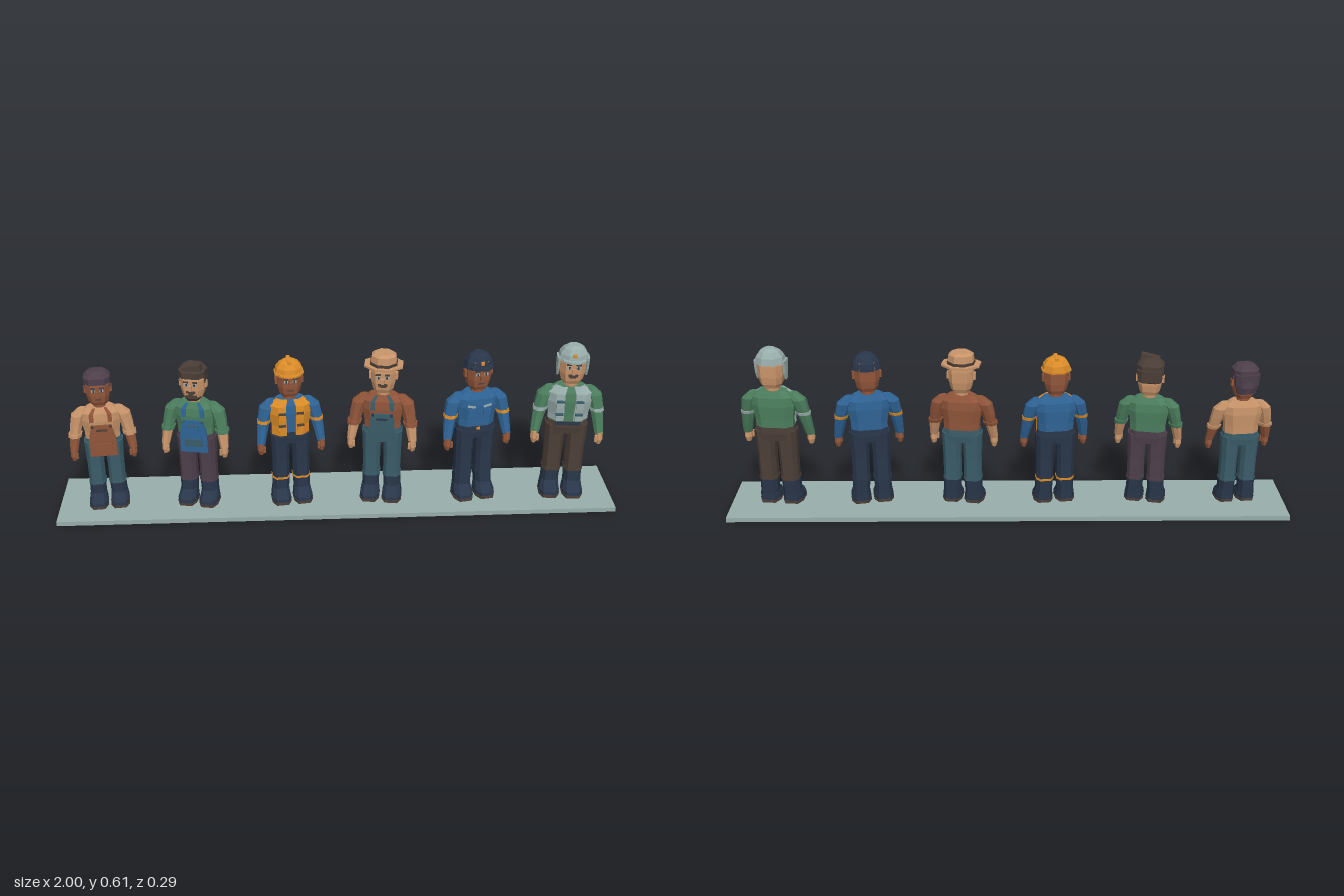
import * as THREE from 'three';

const paint = (name, color) => Object.assign(new THREE.MeshStandardMaterial({ color }), { name });
const M = {
  pale: paint('pale sage grey', 0x98adab), navy: paint('dark navy', 0x29364a),
  teal: paint('dusty teal', 0x3a5c68), tan: paint('tan', 0xc8946a),
  rust: paint('rust brown', 0x90553a), green: paint('work green', 0x4c7f5e),
  blue: paint('work blue', 0x2f6496), orange: paint('safety orange', 0xdc8c28),
  plum: paint('dark plum', 0x4d3f4b), brown: paint('dark brown', 0x4b3e37),
};

const SIDES = [-1, 1];
// Chamfered eight-sided cross-section, running towards +x along the front
const octagon = (a, b) => [[-a, 1], [a, 1], [1, b], [1, -b], [a, -1], [-a, -1], [-1, -b], [-1, b]];
const BOXY = octagon(.62, .45), ROUND = octagon(.41, .41);

// Faceted loft; rings go upward as [y, rx, rz], around cx and cz unless a ring has its own
function loft(rings, section = BOXY, cx = 0, cz = 0, caps = true) {
  const pos = [], n = section.length;
  const at = ([y, rx, rz, x = cx, z = cz], i) => {
    const [u, v] = section[i % n];
    return [x + u * rx, y, z + v * rz];
  };
  const tri = (a, b, c) => pos.push(...a, ...b, ...c);
  for (let k = 0; k + 1 < rings.length; k++) for (let i = 0; i < n; i++) {
    const a = at(rings[k], i), c = at(rings[k + 1], i + 1);
    tri(a, at(rings[k], i + 1), c);
    tri(a, c, at(rings[k + 1], i));
  }
  if (caps) for (let i = 1; i < n - 1; i++) {
    const lo = rings[0], hi = rings.at(-1);
    tri(at(hi, 0), at(hi, i), at(hi, i + 1));
    tri(at(lo, 0), at(lo, i + 1), at(lo, i));
  }
  const g = new THREE.BufferGeometry();
  g.setAttribute('position', new THREE.Float32BufferAttribute(pos, 3));
  g.computeVertexNormals();
  return g;
}

function add(parent, name, geo, mat) {
  const m = new THREE.Mesh(geo, mat);
  m.name = name;
  parent.add(m);
  return m;
}
function box(parent, name, mat, [w, h, d], [x, y, z], tilt = 0) {
  const m = add(parent, name, new THREE.BoxGeometry(w, h, d), mat);
  m.position.set(x, y, z);
  m.rotation.z = tilt;
}
// Straight eight-sided band
const band = (g, name, mat, y, h, rx, rz, cx = 0, cz = 0, section = ROUND) =>
  add(g, name, loft([[y, rx, rz], [y + h, rx, rz]], section, cx, cz), mat);

const TORSO = [[.293, .066, .036], [.33, .067, .037], [.38, .076, .04], [.412, .075, .037], [.434, .046, .027]];
const HEAD = [[.448, .03, .03], [.463, .038, .037], [.49, .044, .041], [.53, .045, .041], [.56, .039, .036], [.573, .024, .024]];

// Arm rings from wrist (t = 1) up to shoulder (t = 0): hanging out, down and slightly forward
const arm = (s, ts, swell = 0) => loft(ts.map(t => {
  const r = Math.min(.018 + .07 * t, .029 - .014 * t) + swell;
  return [.424 - .169 * t, r, r, s * (.068 + .046 * Math.sqrt(t)), .031 * t ** 1.5];
}), ROUND);

function limbs(g, s, { skin, shirt, trousers, rolled, cuff = trousers, armBand }) {
  // Leg and boot
  add(g, 'trouserLeg', loft([[.095, .032, .034], [.18, .032, .033], [.285, .036, .036]], BOXY, s * .039), trousers);
  band(g, 'bootCuff', cuff, .094, .008, .034, .036, s * .039, 0, BOXY);
  add(g, 'boot', loft([[.008, .036, .051, s * .042, .021], [.022, .036, .05, s * .042, .02],
    [.036, .033, .041, s * .042, .011], [.052, .031, .033, s * .041, .002], [.1, .032, .034, s * .039, 0]]), M.navy);
  band(g, 'sole', M.brown, 0, .01, .037, .053, s * .042, .021, BOXY);
  // Arm and hand
  add(g, 'sleeve', arm(s, [.62, .38, .14, 0]), shirt);
  add(g, 'forearm', arm(s, [1, .8, .6]), rolled ? skin : shirt);
  if (rolled) add(g, 'rolledCuff', arm(s, [.66, .58], .005), shirt);
  if (armBand) add(g, 'armBand', arm(s, [.5, .43], .002), armBand);
  add(g, 'hand', loft([[.217, .008, .012], [.235, .013, .017], [.262, .011, .013]], ROUND, s * .115, .035), skin);
  box(g, 'thumb', skin, [.009, .024, .01], [s * .103, .24, .047]);
}

function face(g, { skin, hair, moustache }) {
  add(g, 'head', loft(HEAD), skin);
  box(g, 'nose', skin, [.011, .02, .014], [0, .502, .044]);
  box(g, 'mouth', M.brown, [.022, .004, .006], [0, .477, .039]);
  if (moustache) box(g, 'moustache', hair, [.033, .008, .008], [0, .486, .042]);
  for (const s of SIDES) {
    box(g, 'ear', skin, [.012, .026, .018], [s * .047, .507, 0]);
    box(g, 'eyeWhite', M.pale, [.014, .009, .006], [s * .016, .515, .041]);
    box(g, 'pupil', M.navy, [.006, .009, .006], [s * .015, .515, .042]);
    box(g, 'brow', hair, [.018, .005, .008], [s * .017, .527, .042]);
  }
}

function makeWorker(look) {
  const g = new THREE.Group();
  add(g, 'shirt', loft(TORSO), look.shirt);
  add(g, 'hips', loft([[.25, .066, .035], [.275, .072, .038], [.3, .068, .037]]), look.trousers);
  band(g, 'neck', look.skin, .42, .045, .023, .022);
  box(g, 'belt', M.navy, [.085, .012, .008], [0, .293, .035]);
  for (const s of SIDES) limbs(g, s, look);
  face(g, look);
  look.dress(g);
  return g;
}

// Helmet or cap crown with a peak, sized from its lower rim
function helmet(g, name, mat, y) {
  const curve = [0, .45, .8, 1].map(t => [y + (.588 - y) * t, .051 * Math.sqrt(1 - .87 * t * t), .046 * Math.sqrt(1 - .87 * t * t)]);
  add(g, name, loft(curve, ROUND), mat);
  band(g, 'peak', mat, .538, .006, .039, .026, 0, .036);
}

function shortHair(g, mat, low) {
  add(g, 'hairTop', loft([[.54, .049, .045], [.565, .05, .045], [.58, .036, .034], [.586, .018, .02]]), mat);
  add(g, 'hairBack', loft([[low, .035, .013], [.505, .045, .02], [.55, .048, .022]], BOXY, 0, -.031), mat);
  for (const s of SIDES) box(g, 'sideburn', mat, [.006, .03, .02], [s * .046, .53, .004]);
}

// Garment piece following the body, tucked in along its borders
function panel(g, name, mat, points, rings, s = 1) {
  const p = s > 0 ? points : points.map(([x, z]) => [-x, z]).reverse();
  const loop = [...p, ...p.map(([x, z]) => [x * .97, z * .7]).reverse()];
  const tuck = ([y, x, z]) => [y, x * .97, z * .7];
  add(g, name, loft([tuck(rings[0]), ...rings, tuck(rings.at(-1))], loop, 0, 0, false), mat);
}
const grow = (rings, kx, kz) => rings.map(([y, x, z]) => [y, x * kx, z * kz]);

// Apron or overall bib with straps, buckles and a chest pocket
function bib(g, mat, trim, low, flare) {
  panel(g, 'bib', mat, BOXY.slice(0, 2), [[low, flare, .046], [.3, flare, .047], [.335, .074, .047], [.366, .063, .046]]);
  box(g, 'chestPocket', mat, [.042, .028, .008], [0, .335, .049]);
  box(g, 'pocketTrim', trim, [.042, .005, .009], [0, .347, .05]);
  for (const s of SIDES) {
    panel(g, 'strap', mat, [[.36, 1], [.58, 1]], grow(TORSO.slice(2), 1, 1.12), s);
    box(g, 'buckle', trim, [.01, .009, .008], [s * .035, .362, .046]);
  }
}

// Two vest fronts with pockets and flaps
function vest(g, mat, trim, low) {
  const rings = grow([[low, .067, .037], ...TORSO.slice(1)], 1.05, 1.22);
  for (const s of SIDES) {
    panel(g, 'vestFront', mat, [[.24, 1], [.62, 1], [1, .45], [1, .1]], rings, s);
    for (const y of [.325, .375]) {
      box(g, 'vestPocket', mat, [.026, .026, .012], [s * .034, y, .05]);
      box(g, 'pocketFlap', trim, [.027, .006, .009], [s * .034, y + .012, .053]);
    }
  }
}

function dressApron(g) {
  shortHair(g, M.plum, .47);
  add(g, 'hairBun', loft([[.478, .022, .012], [.5, .03, .016], [.525, .022, .012]], ROUND, 0, -.042), M.plum);
  bib(g, M.rust, M.brown, .23, .085);
  box(g, 'apronPocket', M.rust, [.07, .034, .008], [0, .27, .048]);
}
function dressBlueApron(g) {
  shortHair(g, M.brown, .5);
  box(g, 'quiff', M.brown, [.07, .024, .03], [.006, .578, .026], .2);
  add(g, 'beard', loft([[.445, .024, .028], [.458, .034, .036], [.472, .03, .036]], BOXY, 0, .006), M.brown);
  bib(g, M.blue, M.teal, .23, .085);
  box(g, 'apronPocket', M.teal, [.068, .03, .008], [0, .272, .047]);
}
function dressOrangeVest(g) {
  helmet(g, 'hardHat', M.orange, .538);
  band(g, 'hardHatRim', M.orange, .535, .007, .054, .05);
  box(g, 'hatRidge', M.orange, [.014, .012, .06], [0, .583, 0]);
  vest(g, M.orange, M.brown, .29);
}
function dressSunHat(g) {
  band(g, 'hatBrim', M.tan, .547, .008, .07, .059);
  add(g, 'hatCrown', loft([[.55, .048, .045], [.59, .044, .04], [.599, .032, .03]], ROUND), M.tan);
  band(g, 'hatBand', M.brown, .555, .01, .0495, .0465);
  bib(g, M.teal, M.navy, .25, .075);
}
function dressCap(g) {
  helmet(g, 'cap', M.navy, .53);
  box(g, 'capBadge', M.orange, [.012, .012, .008], [0, .559, .045]);
  box(g, 'beltBuckle', M.orange, [.014, .01, .008], [0, .293, .038]);
  for (const s of SIDES) {
    box(g, 'chestStripe', M.pale, [.03, .007, .008], [s * .03, .385, .039], s * .25);
    box(g, 'shirtPocket', M.blue, [.026, .024, .008], [s * .03, .36, .039]);
  }
}
function dressGreyVest(g) {
  helmet(g, 'helmet', M.pale, .535);
  box(g, 'helmetLamp', M.orange, [.012, .012, .008], [0, .562, .045]);
  for (const s of SIDES)
    add(g, 'earFlap', loft([[.474, .004, .008], [.5, .006, .018], [.545, .006, .025]], BOXY, s * .05, .003), M.pale);
  vest(g, M.pale, M.teal, .308);
}

const { tan, rust, teal, plum, green, blue, navy, brown, orange, pale } = M;
const WORKERS = [
  { name: 'apronWorker', yaw: .1, scale: .9, skin: rust, shirt: tan, trousers: teal, hair: plum, rolled: true, dress: dressApron },
  { name: 'blueApronWorker', yaw: -.2, scale: .93, skin: tan, shirt: green, trousers: plum, hair: brown, rolled: true, moustache: true, dress: dressBlueApron },
  { name: 'orangeVestWorker', yaw: .12, scale: .94, skin: rust, shirt: blue, trousers: navy, hair: brown, cuff: orange, armBand: orange, dress: dressOrangeVest },
  { name: 'sunHatWorker', yaw: -.15, scale: .955, skin: tan, shirt: rust, trousers: teal, hair: brown, rolled: true, moustache: true, dress: dressSunHat },
  { name: 'capWorker', yaw: .18, scale: .966, skin: rust, shirt: blue, trousers: navy, hair: brown, armBand: orange, dress: dressCap },
  { name: 'greyVestWorker', yaw: -.1, scale: 1, skin: tan, shirt: green, trousers: brown, hair: brown, armBand: pale, moustache: true, dress: dressGreyVest },
];

export function createModel() {
  const model = new THREE.Group();
  model.name = 'workerLineup';
  box(model, 'basePlate', pale, [2, .017, .288], [0, .0085, 0]);
  WORKERS.forEach((w, i) => {
    const g = makeWorker(w);
    g.name = w.name;
    g.position.set(-.827 + i * .33, .017, 0);
    g.rotation.y = w.yaw;
    g.scale.setScalar(w.scale);
    model.add(g);
  });
  return model;
}
